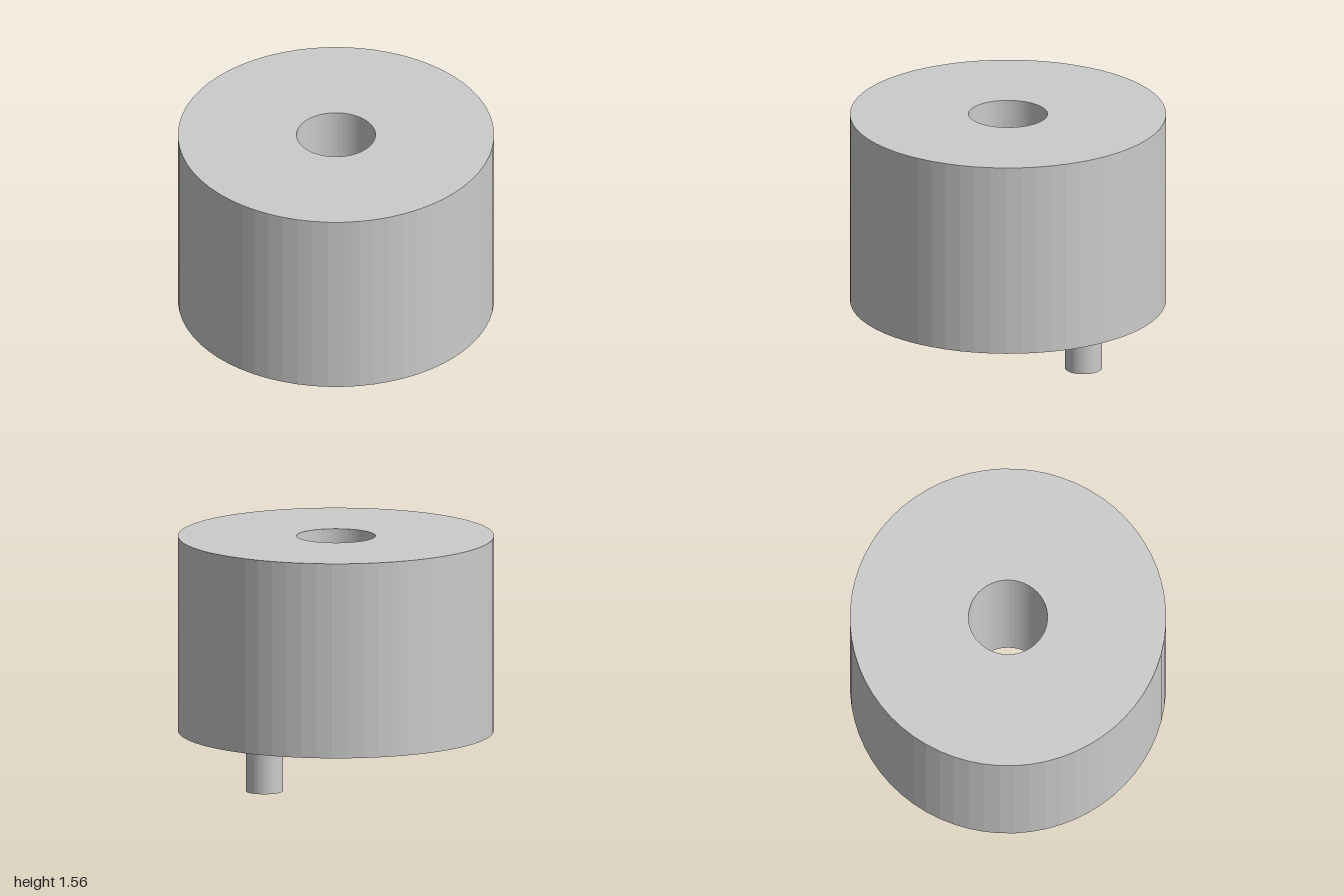
import * as THREE from 'three';

const SEGMENTS = 64;
const BOTTOM = 0.3125, TOP = 1.5625;
const OUTER = 1, BORE = 0.25;
const PIN_RADIUS = 0.117, PIN_Z = -0.625;

export function createModel() {
  const group = new THREE.Group();
  const material = new THREE.MeshStandardMaterial({ color: 0xcccccc, flatShading: true });

  // Thick drum with a bore running right through it
  const profile = [
    [BORE, BOTTOM], [OUTER, BOTTOM], [OUTER, TOP], [BORE, TOP], [BORE, BOTTOM],
  ].map(([r, y]) => new THREE.Vector2(r, y));
  const body = new THREE.Mesh(new THREE.LatheGeometry(profile, SEGMENTS), material);
  body.name = 'body';
  group.add(body);

  // Off-centre pin hanging from the underside, towards the back
  const pin = new THREE.Mesh(
    new THREE.CylinderGeometry(PIN_RADIUS, PIN_RADIUS, BOTTOM, SEGMENTS), material);
  pin.name = 'pin';
  pin.position.set(0, BOTTOM / 2, PIN_Z);
  group.add(pin);

  return group;
}
